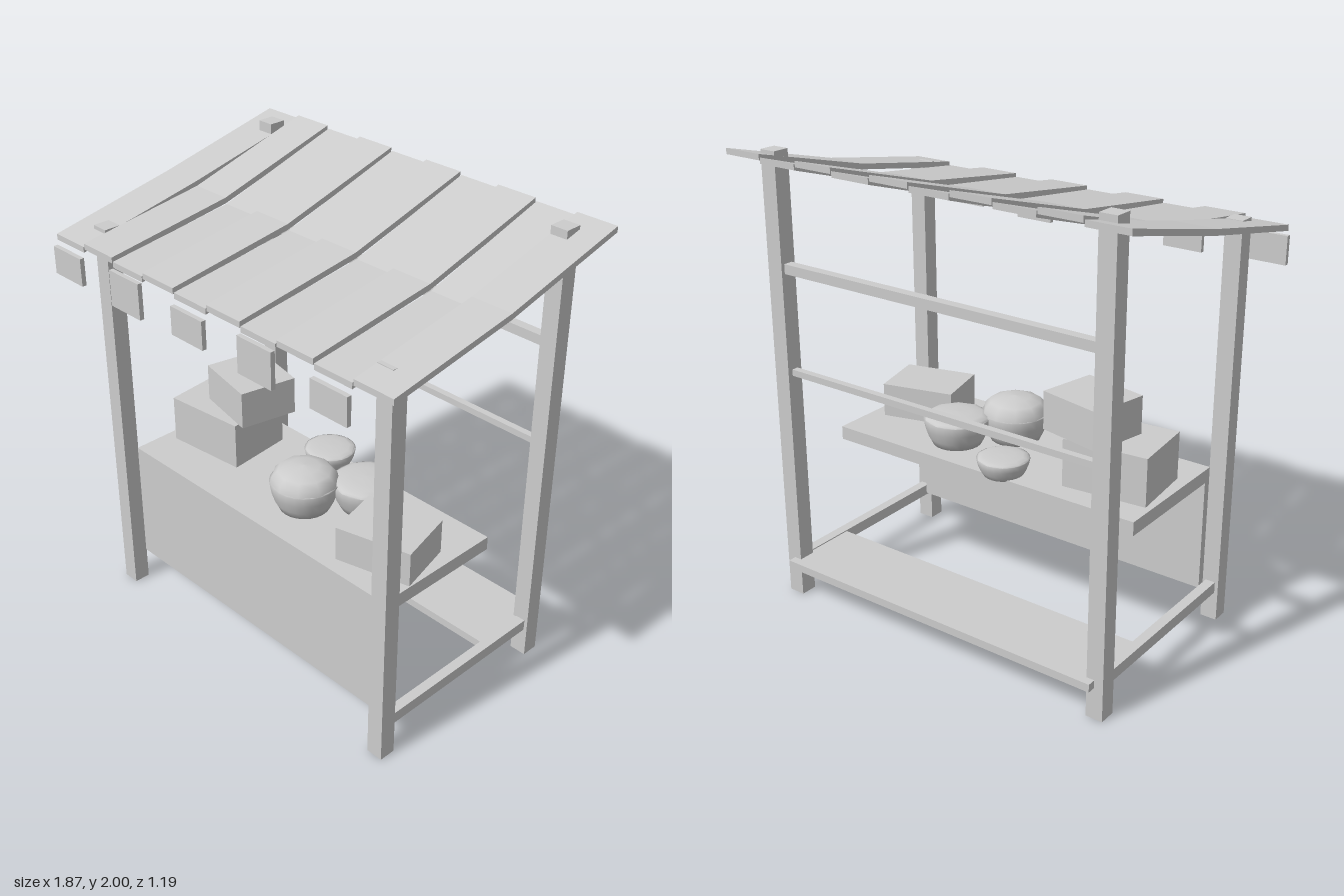
import * as THREE from 'three';

export function createModel() {
  const group = new THREE.Group();
  const grey = new THREE.MeshStandardMaterial({ color: 0xcccccc, side: THREE.DoubleSide });
  grey.name = 'plain grey';

  function add(geometry, name, x = 0, y = 0, z = 0, turn = 0) {
    const mesh = new THREE.Mesh(geometry, grey);
    mesh.name = name;
    mesh.position.set(x, y, z);
    mesh.rotation.y = turn;
    group.add(mesh);
    return mesh;
  }

  // Box given by its low and high limits on each axis
  function block(name, [x0, x1], [y0, y1], [z0, z1]) {
    return add(new THREE.BoxGeometry(x1 - x0, y1 - y0, z1 - z0), name,
      (x0 + x1) / 2, (y0 + y1) / 2, (z0 + z1) / 2);
  }

  // Posts and side rails
  for (const s of [-1, 1]) {
    const px = [s * 0.7925 - 0.0375, s * 0.7925 + 0.0375];
    block('frontPost', px, [0, 1.775], [0.392, 0.465]);
    block('backPost', px, [0, 1.995], [-0.513, -0.438]);
    block('sideRail', [s * 0.7925 - 0.022, s * 0.7925 + 0.022], [0.13, 0.18], [-0.44, 0.394]);
  }

  // Back rails and low shelf
  block('upperBackRail', [-0.756, 0.756], [1.49, 1.532], [-0.497, -0.455]);
  block('lowerBackRail', [-0.756, 0.756], [1.043, 1.071], [-0.49, -0.46]);
  block('lowShelf', [-0.79, 0.79], [0.14, 0.175], [-0.55, -0.2]);

  // Counter
  block('counterTop', [-0.756, 0.756], [0.65, 0.71], [-0.21, 0.394]);
  block('counterPanel', [-0.756, 0.756], [0.15, 0.65], [0.357, 0.394]);

  // Roof plank: a box in two halves, bent at the middle
  function roofPlank(x, front, middle, back) {
    let g = new THREE.BoxGeometry(0.182, 0.024, 1.17, 1, 1, 2);
    const p = g.attributes.position;
    for (let i = 0; i < p.count; i++) {
      const z = p.getZ(i);
      const top = z > 0.1 ? front : z < -0.1 ? back : middle;
      p.setY(i, p.getY(i) > 0 ? top : top - 0.025);
    }
    g = g.toNonIndexed();
    g.computeVertexNormals();
    add(g, 'roofPlank', x, 0, -0.01);
  }
  for (let i = 0; i < 10; i++) {
    const x = -0.845 + i * 0.1878;
    const low = i % 2 === 0;
    const edge = i === 0 || i === 9;
    const middle = edge ? 1.853 : low ? 1.81 : 1.835;
    roofPlank(x, low ? 1.737 : 1.753, middle, low ? 1.987 : 2.0);

    // Hanging flaps below every second plank
    if (low) {
      const long = i % 4 === 2;
      block('hangingFlap', [x - 0.09, x + 0.09],
        long ? [1.556, 1.71] : [1.57, 1.69], [0.577, 0.597]);
    }
  }

  // Crates
  add(new THREE.BoxGeometry(0.372, 0.21, 0.3), 'largeCrate', -0.53, 0.815, 0.052, 0.1);
  add(new THREE.BoxGeometry(0.297, 0.167, 0.26), 'stackedCrate', -0.415, 1.003, 0.012, -0.205);
  add(new THREE.BoxGeometry(0.33, 0.152, 0.26), 'smallCrate', 0.56, 0.785, 0.165, 0.25);

  // Round baskets with a heaped filling
  function basket(x, z, base, rim, radius, top) {
    const h = rim - base;
    const wall = [[0, 0], [0.74, 0], [0.86, 0.3], [0.95, 0.65], [1, 1], [0.93, 1]]
      .map(([r, y]) => new THREE.Vector2(r * radius, y * h));
    add(new THREE.LatheGeometry(wall, 24), 'basket', x, base, z);
    const heap = [[1, -0.1], [0.95, 0.35], [0.78, 0.7], [0.45, 0.93], [0, 1]]
      .map(([r, y]) => new THREE.Vector2(r * radius * 0.985, y * (top - rim)));
    add(new THREE.LatheGeometry(heap, 10), 'basketFilling', x, rim, z);
  }
  basket(0.075, 0.16, 0.71, 0.832, 0.147, 0.906);
  basket(0.25, -0.025, 0.71, 0.825, 0.145, 0.85);
  basket(-0.09, -0.15, 0.703, 0.775, 0.112, 0.79);

  return group;
}
